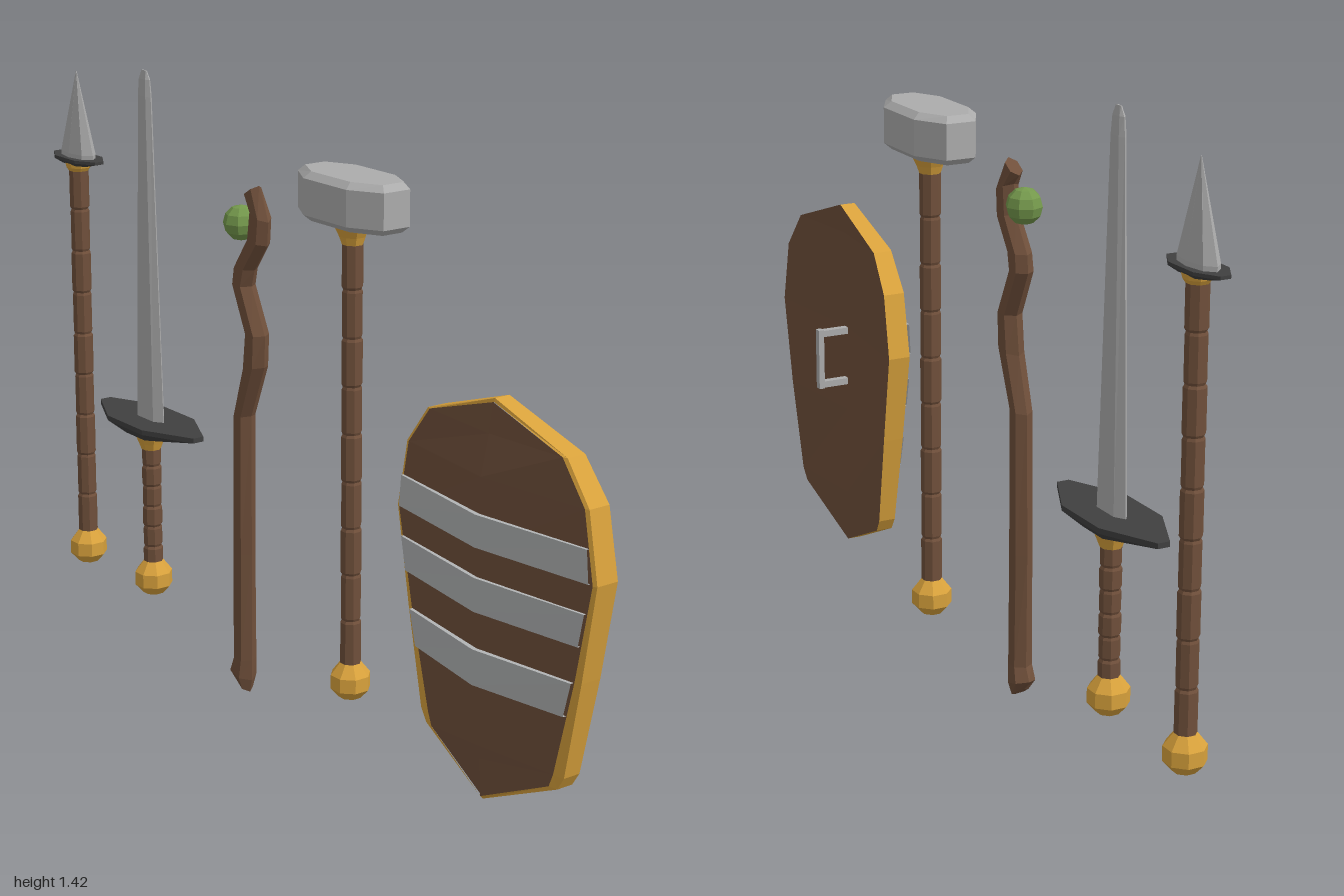
import * as THREE from 'three';

const mat = (name, color, side = THREE.FrontSide) =>
  new THREE.MeshStandardMaterial({ name, color, flatShading: true, side });

export function createModel() {
  const wood = mat('wood', 0x70503b);
  const gold = mat('gold', 0xd9a23c);
  const steel = mat('steel', 0xacacac);
  const iron = mat('darkIron', 0x404040);
  const green = mat('greenGem', 0x74984c);
  const band = mat('bandSteel', 0xb2b4b5, THREE.DoubleSide);

  const root = new THREE.Group();

  // Skin between successive point loops; closed loops may be capped.
  function loft(loops, closed = true, caps = closed) {
    const pos = [];
    const tri = (a, b, c) => pos.push(...a, ...b, ...c);
    const n = loops[0].length;
    for (let i = 0; i < loops.length - 1; i++) {
      for (let j = 0; j < (closed ? n : n - 1); j++) {
        const k = (j + 1) % n;
        tri(loops[i][j], loops[i][k], loops[i + 1][k]);
        tri(loops[i][j], loops[i + 1][k], loops[i + 1][j]);
      }
    }
    if (caps) {
      const lo = loops[0], hi = loops[loops.length - 1];
      for (let j = 1; j < n - 1; j++) {
        tri(lo[0], lo[j + 1], lo[j]);
        tri(hi[0], hi[j], hi[j + 1]);
      }
    }
    const g = new THREE.BufferGeometry();
    g.setAttribute('position', new THREE.Float32BufferAttribute(pos, 3));
    g.computeVertexNormals();
    return g;
  }

  function add(parent, name, geometry, material) {
    const m = new THREE.Mesh(geometry, material);
    m.name = name;
    parent.add(m);
    return m;
  }

  function weapon(name, x, z) {
    const g = new THREE.Group();
    g.name = name;
    g.position.set(x, 0, z);
    root.add(g);
    return g;
  }

  // Horizontal elliptical ring; tilt raises the +x side.
  const ring = (y, rx, rz = rx, n = 8, cx = 0, turn = 0.5, tilt = 0) =>
    Array.from({ length: n }, (_, i) => {
      const a = ((i + turn) / n) * Math.PI * 2;
      return [cx + rx * Math.sin(a), y + tilt * rx * Math.sin(a), rz * Math.cos(a)];
    });

  // Eight-point bar outline: narrow ends, wide middle.
  const bar = (y, hx, hz, ix, iz) =>
    [[-ix, hz], [ix, hz], [hx, iz], [hx, -iz], [ix, -hz], [-ix, -hz], [-hx, -iz], [-hx, iz]]
      .map(([x, z]) => [x, y, z]);

  // Shaft made of wrapped segments with small notches.
  function shaft(parent, name, y0, y1, count, r) {
    const loops = [], h = (y1 - y0) / count;
    for (let i = 0; i < count; i++) {
      const y = y0 + i * h, s = i % 2 ? 0.96 : 1;
      loops.push(ring(y, r * 0.86), ring(y + 0.006, r * s), ring(y + h - 0.006, r * s));
    }
    loops.push(ring(y1, r * 0.86));
    add(parent, name, loft(loops), wood);
  }

  const pommel = (parent, y) => add(parent, 'pommel', loft(
    [[0, 0.026], [0.022, 0.046], [0.055, 0.046], [0.083, 0.024]].map(([d, r]) => ring(y + d, r))), gold);
  const collar = (parent, y0, y1, r) => add(parent, 'collar', loft(
    [ring(y0, 0.024), ring(y0 + (y1 - y0) * 0.35, 0.03), ring(y1, r)]), gold);

  // Spear
  const spear = weapon('spear', -0.905, 0.02);
  pommel(spear, 0.125);
  shaft(spear, 'spearShaft', 0.2, 1.145, 9, 0.024);
  collar(spear, 1.135, 1.16, 0.034);
  add(spear, 'spearGuard', loft([
    bar(1.152, 0.05, 0.026, 0.03, 0.01), bar(1.163, 0.094, 0.04, 0.045, 0.012),
    bar(1.17, 0.094, 0.04, 0.045, 0.012)]), iron);
  add(spear, 'spearHead', loft([
    ring(1.165, 0.066, 0.028, 8, 0, 0), ring(1.18, 0.066, 0.028, 8, 0, 0),
    ring(1.378, 0.001, 0.001, 8, 0, 0)]), steel);

  // Sword
  const sword = weapon('sword', -0.605, 0.02);
  pommel(sword, 0.13);
  shaft(sword, 'grip', 0.2, 0.51, 6, 0.024);
  collar(sword, 0.5, 0.545, 0.042);
  add(sword, 'crossGuard', loft([
    bar(0.538, 0.07, 0.045, 0.04, 0.02), bar(0.566, 0.203, 0.075, 0.075, 0.014),
    bar(0.578, 0.203, 0.075, 0.075, 0.014)]), iron);
  const edge = (y, w, d) => bar(y, w, d, w * 0.6, 0.001);
  add(sword, 'swordBlade', loft([
    edge(0.57, 0.057, 0.016), edge(1.36, 0.026, 0.009),
    edge(1.4, 0.022, 0.007), edge(1.42, 0.01, 0.002)]), steel);

  // Crooked staff: x, y, half width, half depth, tilt
  const staff = weapon('staff', 0, 0.023);
  add(staff, 'staffWood', loft([
    [-0.215, 0.017, 0.02, 0.018, -0.7], [-0.222, 0.045, 0.035, 0.029, -0.3],
    [-0.214, 0.085, 0.028, 0.026, 0], [-0.214, 0.35, 0.03, 0.024, 0],
    [-0.21, 0.68, 0.028, 0.024, 0.2], [-0.165, 0.805, 0.035, 0.026, 0.2],
    [-0.158, 0.885, 0.03, 0.026, 0], [-0.208, 0.99, 0.03, 0.025, 0],
    [-0.2, 1.03, 0.034, 0.024, 0], [-0.15, 1.1, 0.032, 0.023, -0.2],
    [-0.143, 1.16, 0.03, 0.022, -0.4], [-0.172, 1.21, 0.025, 0.017, 0.6],
  ].map(([x, y, rx, rz, t]) => ring(y, rx, rz, 6, x, 0.5, t))), wood);
  add(staff, 'orb', new THREE.SphereGeometry(0.041, 8, 6), green).position.set(-0.21, 1.132, 0.005);

  // Hammer
  const hammer = weapon('hammer', 0.13, -0.024);
  pommel(hammer, 0.093);
  shaft(hammer, 'hammerShaft', 0.17, 1.15, 9, 0.024);
  collar(hammer, 1.14, 1.19, 0.046);
  add(hammer, 'hammerHead', loft([
    bar(1.186, 0.135, 0.06, 0.068, 0.026), bar(1.2, 0.15, 0.076, 0.075, 0.035),
    bar(1.28, 0.15, 0.076, 0.075, 0.035), bar(1.294, 0.135, 0.06, 0.068, 0.026)]), steel);

  // Shield rows: y, half width, lip inset, back edge z, back ridge z, front edge z, front ridge z
  const shield = weapon('shield', 0.688, 0);
  const rows = [
    [0.075, 0, 0, 0.02, 0.02, 0.058, 0.066],
    [0.17, 0.208, 0.022, 0.002, 0.02, 0.042, 0.072],
    [0.2, 0.226, 0.028, 0, 0.02, 0.042, 0.075],
    [0.42, 0.27, 0.016, -0.006, 0.022, 0.044, 0.085],
    [0.635, 0.307, 0.009, -0.008, 0.024, 0.046, 0.088],
    [0.785, 0.278, 0.009, -0.006, 0.024, 0.046, 0.083],
    [0.872, 0.212, 0.01, 0, 0.022, 0.046, 0.064],
    [0.943, 0, 0, 0.012, 0.012, 0.05, 0.052],
  ];
  const last = rows.length - 1;
  const innerY = (y, i) => (i === 0 ? y + 0.008 : i === last ? y - 0.008 : y);
  add(shield, 'shieldFace', loft(rows.map(([y, w, s, , , ez, rz], i) => {
    const v = innerY(y, i);
    return [[s - w, v, ez + 0.004], [0, v, rz], [w - s, v, ez + 0.004]];
  }), false), wood);
  add(shield, 'shieldBack', loft(rows.map(([y, w, , bz, cz]) =>
    [[w, y, bz], [0, y, cz], [-w, y, bz]]), false), wood);

  // Rim runs up the right side of the outline and down the other.
  const around = (f) => [
    ...rows.map((r, i) => f(r, i, 1)),
    ...rows.map((r, i) => f(r, i, -1)).slice(1, last).reverse()];
  add(shield, 'shieldRim', loft([
    around(([y, w, , bz], i, s) => [s * w, y, bz]),
    around(([y, w, , , , ez], i, s) => [s * w, y, ez]),
    around(([y, w, d, , , ez, rz], i, s) =>
      [s * (w - d), innerY(y, i), w ? ez + 0.004 : rz]),
  ], true, false), gold);

  // Metal bands following the ridge: y0, y1, half width at bottom and top
  for (const [y0, y1, w0, w1] of [[0.34, 0.418, 0.232, 0.252], [0.5, 0.573, 0.268, 0.283], [0.638, 0.708, 0.292, 0.285]]) {
    const line = (y, w, d) => [[-w, y, 0.045 + d], [0, y, 0.085 + d], [w, y, 0.045 + d]];
    add(shield, 'shieldBand', loft([
      line(y0, w0, 0), line(y0, w0, 0.011), line(y1, w1, 0.011), line(y1, w1, 0)], false), band);
  }

  // Back handle
  const bars = [[0.56, -0.048, 0.15, 0.014], [0.495, -0.012, 0.016, 0.076], [0.625, -0.012, 0.016, 0.076]];
  for (const [y, z, h, d] of bars)
    add(shield, 'shieldHandle', new THREE.BoxGeometry(0.018, h, d), steel).position.set(0, y, z);

  return root;
}
